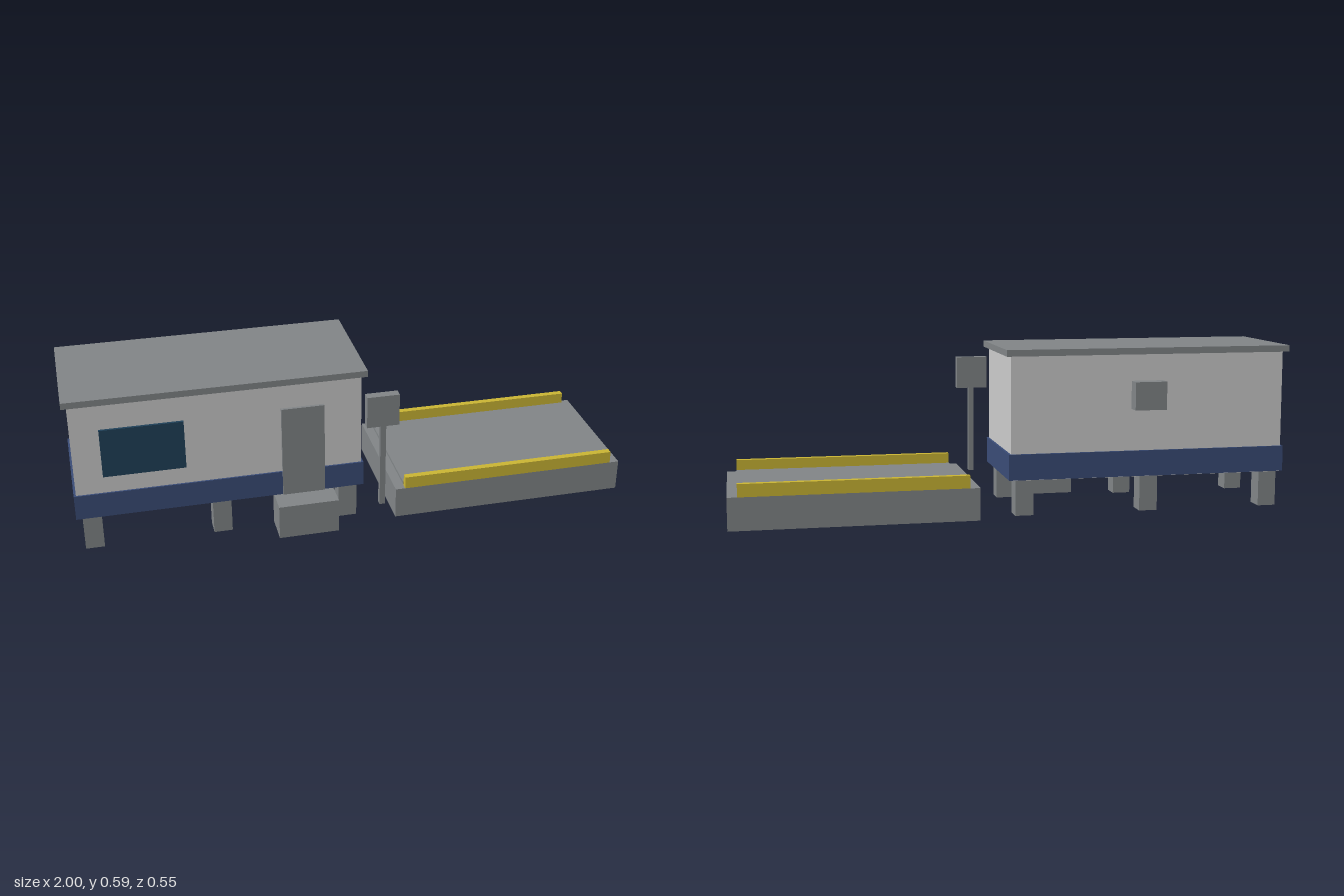
import * as THREE from 'three';

const material = (name, color) => {
  const m = new THREE.MeshStandardMaterial({ color });
  m.name = name;
  return m;
};

export function createModel() {
  const grey = material('steel grey', 0x808486);
  const white = material('wall off-white', 0xcacaca);
  const blue = material('skirt blue', 0x394b76);
  const yellow = material('rail yellow', 0xc9b433);
  const glass = material('dark glass', 0x1f4058);

  const model = new THREE.Group();
  model.name = 'weighStation';

  // Box given by its extents along each axis
  const box = (parent, name, mat, [x0, x1], [y0, y1], [z0, z1]) => {
    const mesh = new THREE.Mesh(new THREE.BoxGeometry(x1 - x0, y1 - y0, z1 - z0), mat);
    mesh.position.set((x0 + x1) / 2, (y0 + y1) / 2, (z0 + z1) / 2);
    mesh.name = name;
    parent.add(mesh);
  };
  const group = (name) => {
    const g = new THREE.Group();
    g.name = name;
    model.add(g);
    return g;
  };

  // Cabin shell
  const cabin = group('cabin');
  box(cabin, 'walls', white, [-0.982, 0.022], [0.126, 0.565], [-0.222, 0.182]);
  box(cabin, 'skirtBand', blue, [-0.99, 0.03], [0.128, 0.22], [-0.229, 0.188]);
  box(cabin, 'roof', grey, [-1, 0.04], [0.565, 0.588], [-0.24, 0.2]);

  // Fittings on the front and back walls
  box(cabin, 'window', glass, [-0.885, -0.6], [0.286, 0.466], [0.182, 0.191]);
  box(cabin, 'door', grey, [-0.264, -0.112], [0.128, 0.47], [0.18, 0.193]);
  box(cabin, 'step', grey, [-0.295, -0.08], [0, 0.127], [0.16, 0.273]);
  box(cabin, 'airConditioner', grey, [-0.53, -0.415], [0.37, 0.47], [-0.272, -0.222]);

  // Two rows of support legs
  const legs = group('legs');
  for (const x of [-0.935, -0.482, -0.027]) {
    for (const z of [-0.188, 0.148]) {
      box(legs, 'leg', grey, [x - 0.033, x + 0.033], [0, 0.126], [z - 0.033, z + 0.033]);
    }
  }

  // Display on a post
  const display = group('display');
  box(display, 'post', grey, [0.07, 0.09], [0.085, 0.405], [0.247, 0.267]);
  box(display, 'displayBox', grey, [0.02, 0.135], [0.405, 0.522], [0.241, 0.273]);

  // Weighing platform with raised deck and side rails
  const platform = group('platform');
  box(platform, 'base', grey, [0.14, 1], [0, 0.115], [-0.272, 0.232]);
  box(platform, 'deck', grey, [0.175, 0.965], [0.115, 0.125], [-0.24, 0.2]);
  for (const z of [-0.2605, 0.2205]) {
    box(platform, 'rail', yellow, [0.175, 0.965], [0.115, 0.16], [z - 0.0115, z + 0.0115]);
  }

  return model;
}
